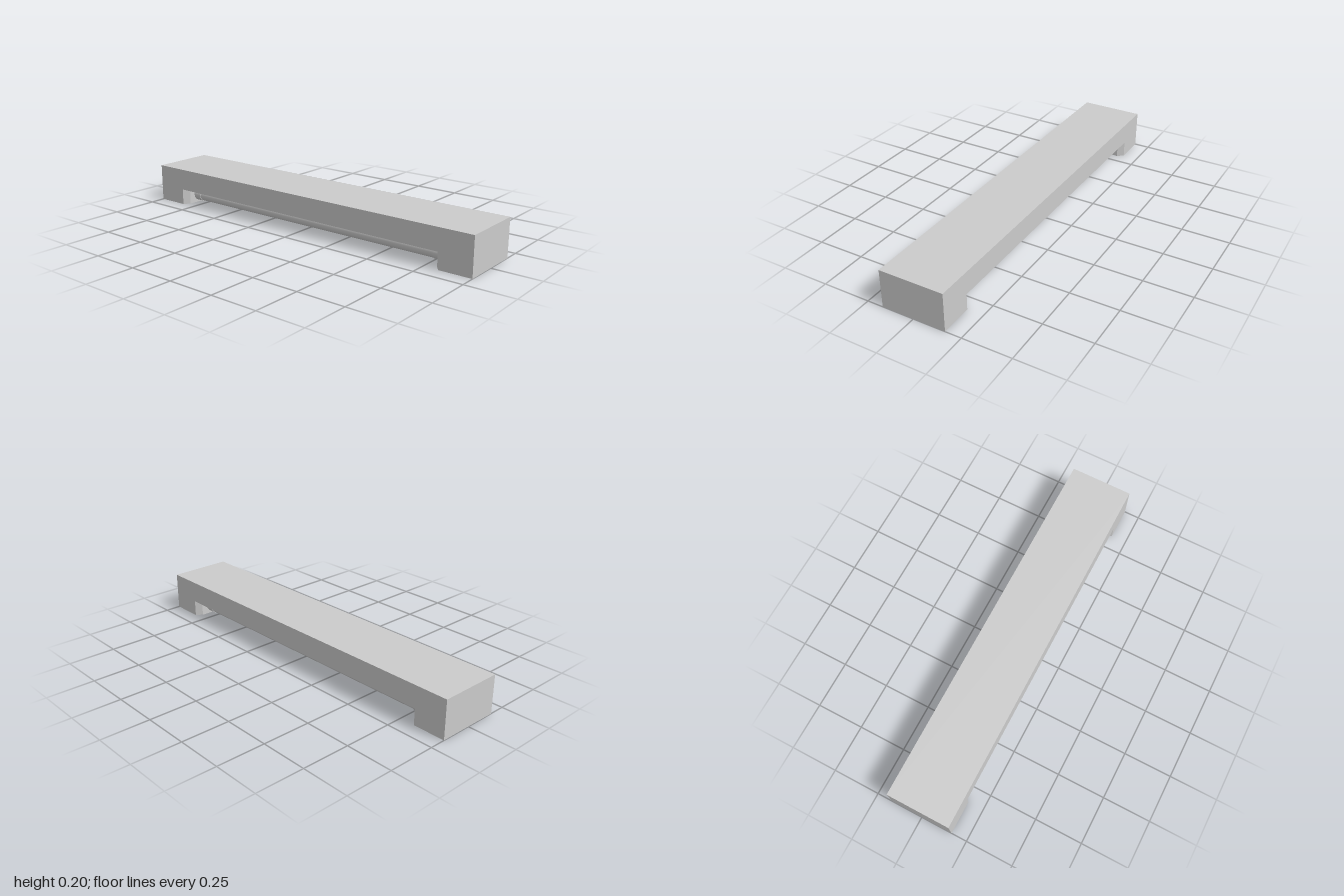
import * as THREE from 'three';

const W = 0.167;       // half width of the housing
const CEILING = 0.085; // height of the recess ceiling
const INNER = 0.83;    // z where the end blocks begin
const SOCKET = 0.805;  // z of the socket faces

export function createModel() {
  const model = new THREE.Group();
  model.name = 'twinTubeLight';
  const material = new THREE.MeshStandardMaterial({ color: 0xcccccc });

  const add = (name, geometry, parent = model) => {
    const mesh = new THREE.Mesh(geometry, material);
    mesh.name = name;
    parent.add(mesh);
    return mesh;
  };
  const extrude = (points, depth) => new THREE.ExtrudeGeometry(
    new THREE.Shape(points.map(([x, y]) => new THREE.Vector2(x, y))),
    { depth, bevelEnabled: false });

  // Housing: bridge-shaped side profile (z, y) swept across the width
  const housing = extrude([
    [-1, 0], [-INNER, 0], [-INNER, CEILING], [INNER, CEILING],
    [INNER, 0], [1, 0], [1, 0.2], [-1, 0.2],
  ], 2 * W);
  housing.rotateY(-Math.PI / 2).translate(W, 0, 0);
  add('housing', housing);

  // Sockets: shallow chamfered plates on the inside of each end block
  const socket = extrude([
    [-W, -INNER], [W, -INNER], [W - 0.032, -SOCKET], [-W + 0.032, -SOCKET],
  ].reverse(), CEILING);
  socket.rotateX(-Math.PI / 2);
  for (const turn of [0, Math.PI]) add('socket', socket).rotation.y = turn;

  // Two lamps, each a glass tube with a slightly wider cap at both ends
  const tube = new THREE.CylinderGeometry(0.034, 0.034, 2 * SOCKET, 32, 1, true);
  const cap = new THREE.CylinderGeometry(0.037, 0.037, 0.045, 32);
  for (const side of [-1, 1]) {
    const lamp = new THREE.Group();
    lamp.name = side > 0 ? 'leftLamp' : 'rightLamp';
    lamp.position.set(side * 0.065, 0.047, 0);
    lamp.rotation.x = Math.PI / 2;
    add('tube', tube, lamp);
    for (const end of [-1, 1]) add('tubeCap', cap, lamp).position.y = end * (SOCKET - 0.0225);
    model.add(lamp);
  }
  return model;
}
